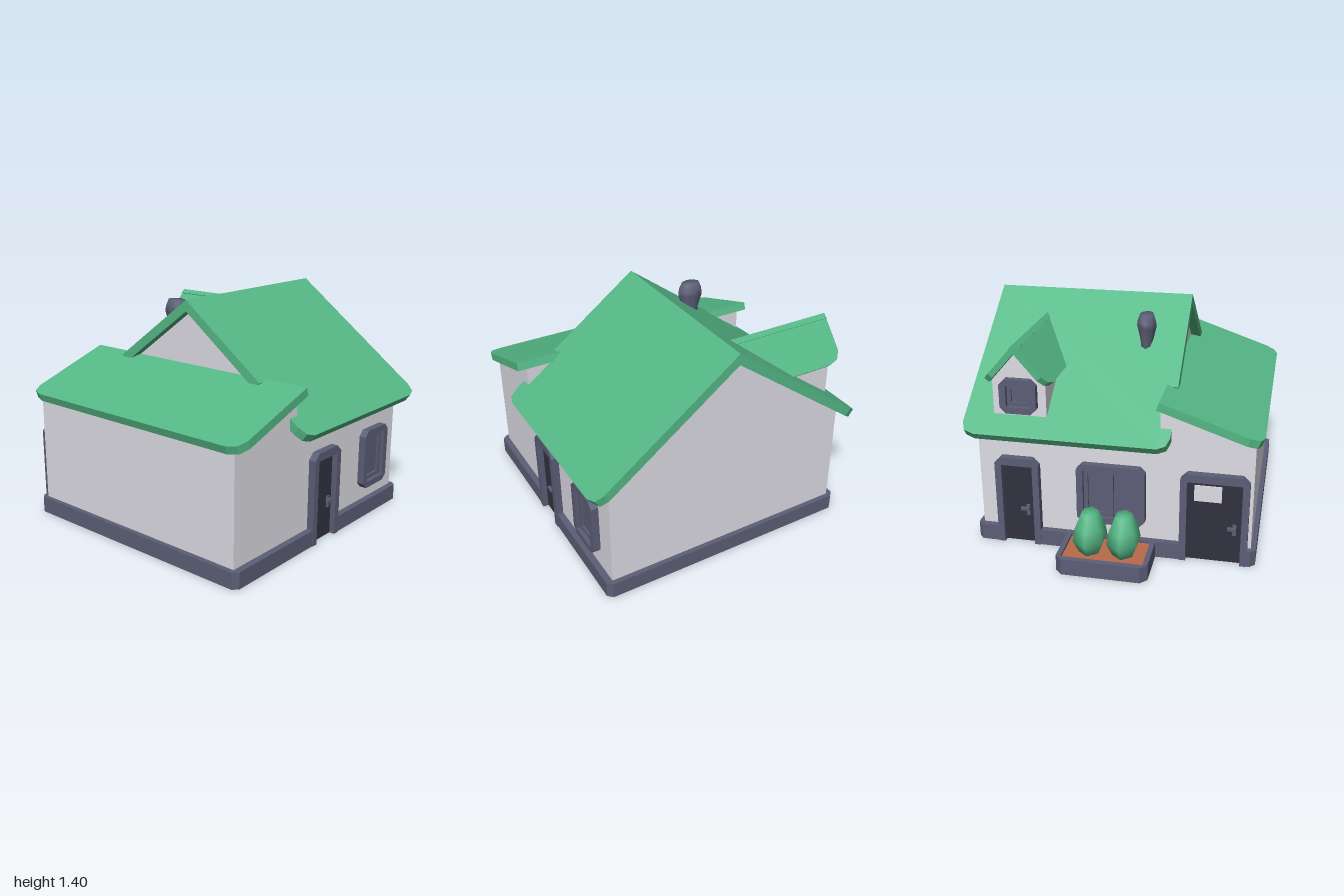
import * as THREE from 'three';

const mat = (name, color, side = THREE.FrontSide) => {
  const m = new THREE.MeshStandardMaterial({ color, side });
  m.name = name;
  return m;
};
const V = (x, y, z) => new THREE.Vector3(x, y, z);

export function createModel() {
  const green = mat('green', 0x55b886);
  const wall = mat('plaster', 0xdcdce3);
  const slate = mat('slate', 0x5c5e76);
  const dark = mat('dark door', 0x31323f);
  const soil = mat('terracotta', 0xb9694a);
  const model = new THREE.Group();

  const add = (name, geo, material, parent = model) => {
    const m = new THREE.Mesh(geo, material);
    m.name = name;
    parent.add(m);
    return m;
  };
  const poly = pts => new THREE.Shape(pts.map(p => new THREE.Vector2(p[0], p[1])));
  const extrude = (shape, depth) => new THREE.ExtrudeGeometry(shape, { depth, bevelEnabled: false });
  // rectangle with cut corners; c0 cuts the bottom, c1 the top
  const chamfered = (x0, x1, y0, y1, c0, c1 = c0) => [
    [x0 + c0, y0], [x1 - c0, y0], [x1, y0 + c0], [x1, y1 - c1],
    [x1 - c1, y1], [x0 + c1, y1], [x0, y1 - c1], [x0, y0 + c0]];
  const hole = (shape, x0, x1, y0, y1) => {
    shape.holes.push(poly([[x0, y0], [x0, y1], [x1, y1], [x1, y0]]));
    return shape;
  };
  // flat roof panel: pts are (distance down the slope, position along the ridge axis)
  const roofPanel = (name, origin, down, normal, ridgeAxis, pts, t) => {
    const d = down.clone().normalize(), n = normal.clone().normalize();
    const a = n.clone().cross(d);
    const s = Math.sign(a.dot(ridgeAxis));
    const g = extrude(poly(pts.map(p => [p[0], p[1] * s])), t);
    g.translate(0, 0, -t);
    g.applyMatrix4(new THREE.Matrix4().makeBasis(d, a, n).setPosition(origin));
    return add(name, g, green);
  };
  // profile in the ground plane (x, z), raised from y0 by h
  const raise = (shape, y0, h) => extrude(shape, h).rotateX(Math.PI / 2).translate(0, y0 + h, 0);

  // Base with recesses at the three doors
  const base = poly([
    [-0.68, -0.84], [0.89, -0.84], [0.92, -0.81], [0.92, -0.08], [0.86, -0.08], [0.86, 0.11],
    [0.92, 0.11], [0.92, 0.83], [0.89, 0.86], [-0.68, 0.86], [-0.71, 0.83],
    [-0.71, 0.77], [-0.65, 0.77], [-0.65, 0.45], [-0.71, 0.45],
    [-0.71, -0.475], [-0.65, -0.475], [-0.65, -0.665], [-0.71, -0.665], [-0.71, -0.81]]);
  add('base', raise(base, 0, 0.1), slate);

  // House walls with gables at both ends
  add('houseWalls', extrude(poly([[-0.67, 0.02], [0.88, 0.02], [0.88, 0.76], [0.107, 1.34], [-0.67, 0.76]]), 1.1)
    .translate(0, 0, -0.81), wall);

  // Front extension walls, section in (z, y) swept along x
  add('extensionWalls', extrude(poly([[-0.285, 0.02], [-0.285, 0.95], [-0.83, 0.765], [-0.83, 0.02]]), 1.55)
    .rotateY(Math.PI / 2).translate(-0.67, 0, 0), wall);

  // Main roof, two mirrored panels notched around the extension
  for (const side of [1, -1]) {
    roofPanel(side > 0 ? 'mainRoofLeft' : 'mainRoofRight', V(0.11, 1.4, 0),
      V(side * 0.89, -0.66, 0), V(side * 0.66, 0.89, 0), V(0, 0, 1), [
        [0, -0.88], [1.03, -0.88], [1.085, -0.86], [1.108, -0.8],
        [1.108, 0.28], [1.085, 0.33], [1.03, 0.35], [0.96, 0.35], [0.96, 0.285],
        [0.69, 0.285], [0.69, 0.35], [0, 0.35]], 0.055);
  }

  // Lean-to roof over the extension
  roofPanel('extensionRoof', V(0.105, 1.0, 0.285), V(0, -0.2, 0.59), V(0, 0.59, 0.2), V(1, 0, 0), [
    [0, -0.835], [0.54, -0.835], [0.6, -0.81], [0.623, -0.75],
    [0.623, 0.75], [0.6, 0.81], [0.54, 0.835], [0, 0.835]], 0.05);

  // Dormer
  for (const side of [1, -1]) {
    roofPanel(side > 0 ? 'dormerRoofFront' : 'dormerRoofBack', V(0, 1.28, -0.545),
      V(0, -0.235, side * 0.205), V(0, 0.205, side * 0.235), V(1, 0, 0), [
        [0, -0.73], [0, -0.05], [0.312, -0.34], [0.312, -0.64], [0.29, -0.7], [0.24, -0.73]], 0.035);
  }
  add('dormerWalls', extrude(poly([[-0.16, 0.8], [0.16, 0.8], [0.16, 1.04], [0, 1.225], [-0.16, 1.04]]), 0.46)
    .rotateY(Math.PI / 2).translate(-0.66, 0, -0.545), wall);

  // Openings are built facing +z, then turned onto the side walls
  const place = (name, side, z, x) => {
    const g = new THREE.Group();
    g.name = name;
    g.rotation.y = side * Math.PI / 2;
    g.position.set(x, 0, z);
    model.add(g);
    return g;
  };
  const door = (name, side, z, w, x) => {
    const g = place(name, side, z, x);
    const o = w / 2, i = o - 0.04;
    const frame = poly([[-o, 0], [-i, 0], [-i, 0.52], [i, 0.52], [i, 0], [o, 0],
      [o, 0.53], [o - 0.04, 0.57], [-o + 0.04, 0.57], [-o, 0.53]]);
    add('doorFrame', extrude(frame, 0.065).translate(0, 0, -0.02), slate, g);
    add('doorPanel', new THREE.BoxGeometry(i * 2, 0.52, 0.03).translate(0, 0.26, -0.005), dark, g);
    add('handlePlate', new THREE.BoxGeometry(0.022, 0.07, 0.012).translate(i - 0.04, 0.22, 0.015), slate, g);
    add('handle', new THREE.BoxGeometry(0.05, 0.018, 0.018).translate(i - 0.055, 0.235, 0.035), slate, g);
    return g;
  };
  const windowUnit = (name, side, z, w, y0, y1, x, mullion) => {
    const g = place(name, side, z, x);
    const o = w / 2, b = 0.04;
    const frame = hole(poly(chamfered(-o, o, y0, y1, 0.035)), -o + b, o - b, y0 + b, y1 - b);
    add('windowFrame', extrude(frame, 0.055).translate(0, 0, -0.01), slate, g);
    const inner = hole(poly(chamfered(-o + b, o - b, y0 + b, y1 - b, 0)),
      -o + b + 0.025, o - b - 0.025, y0 + b + 0.025, y1 - b - 0.025);
    add('innerFrame', extrude(inner, 0.03).translate(0, 0, -0.01), slate, g);
    add('windowPane', new THREE.BoxGeometry(w - 2 * b, y1 - y0 - 2 * b, 0.009).translate(0, (y0 + y1) / 2, 0.002), slate, g);
    if (mullion) add('mullion', new THREE.BoxGeometry(0.03, y1 - y0 - 2 * b, 0.035).translate(0, (y0 + y1) / 2, 0.01), slate, g);
  };
  door('leftDoor', 1, 0.015, 0.27, 0.88);
  door('rightBackDoor', -1, -0.57, 0.27, -0.67);
  const wide = door('rightFrontDoor', -1, 0.61, 0.4, -0.67);
  add('doorLight', new THREE.BoxGeometry(0.16, 0.1, 0.008).translate(-0.04, 0.44, 0.014), wall, wide);
  windowUnit('leftWindow', 1, -0.535, 0.27, 0.19, 0.57, 0.88, false);
  windowUnit('rightWindow', -1, 0, 0.41, 0.19, 0.57, -0.67, true);
  windowUnit('dormerWindow', -1, -0.545, 0.22, 0.85, 1.06, -0.655, false);

  // Chimney, an oval flared pot
  const chimney = add('chimney', new THREE.LatheGeometry(
    [[0.06, 1.0], [0.055, 1.18], [0.085, 1.27], [0.08, 1.3], [0.06, 1.345], [0, 1.345]]
      .map(p => new THREE.Vector2(p[0], p[1])), 8), slate);
  chimney.scale.z = 0.7;
  chimney.position.set(-0.185, 0, 0.115);

  // Planter with two bushes
  const planter = hole(poly(chamfered(-1, -0.68, -0.27, 0.27, 0.04)), -0.965, -0.7, -0.24, 0.24);
  add('planter', raise(planter, 0, 0.1), slate);
  add('planterSoil', new THREE.BoxGeometry(0.28, 0.08, 0.5).translate(-0.83, 0.045, 0), soil);
  for (const z of [-0.095, 0.105]) {
    const bush = add('bush', new THREE.LatheGeometry(
      [[0, 0.08], [0.09, 0.09], [0.135, 0.17], [0.115, 0.25], [0.065, 0.335], [0, 0.335]]
        .map(p => new THREE.Vector2(p[0], p[1])), 6).rotateY(Math.PI / 2), green);
    bush.scale.z = 0.75;
    bush.position.set(-0.835, 0, z);
  }
  return model;
}
